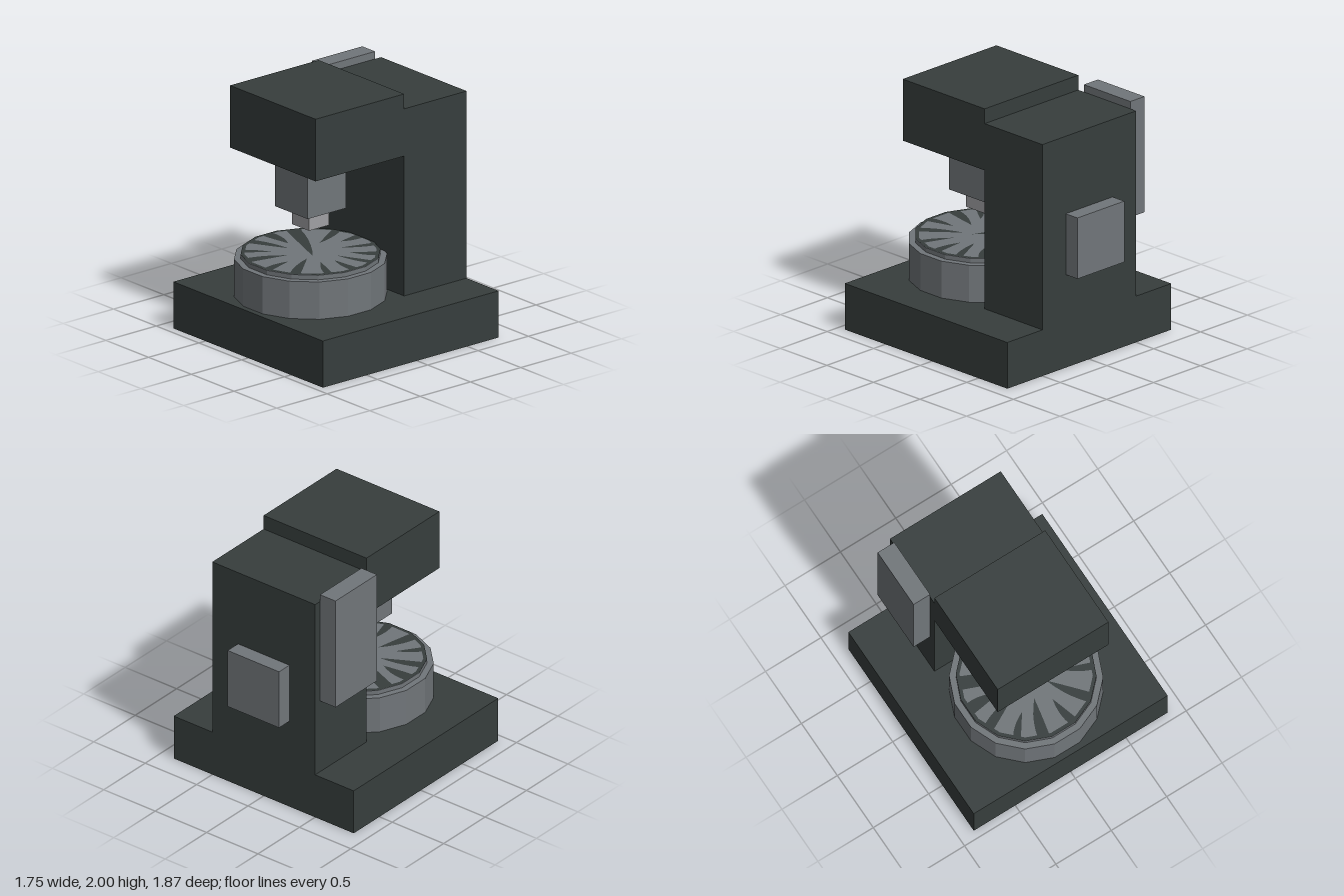
import * as THREE from 'three';

const dark = new THREE.MeshStandardMaterial({ name: 'dark casing', color: 0x373e3d, flatShading: true });
const grey = new THREE.MeshStandardMaterial({ name: 'grey metal', color: 0x71767a, flatShading: true });
const light = new THREE.MeshStandardMaterial({ name: 'light metal', color: 0xa0a0a3, flatShading: true });

const SIDES = 16;
const TABLE_Z = 0.315;

export function createModel() {
  const model = new THREE.Group();
  model.name = 'pressMachine';

  function add(name, geometry, material) {
    const mesh = new THREE.Mesh(geometry, material);
    mesh.name = name;
    model.add(mesh);
    return mesh;
  }

  // Box given by its lower and upper limits on each axis
  function box(name, material, [x0, x1], [y0, y1], [z0, z1]) {
    const g = new THREE.BoxGeometry(x1 - x0, y1 - y0, z1 - z0);
    add(name, g.translate((x0 + x1) / 2, (y0 + y1) / 2, (z0 + z1) / 2), material);
  }

  // Faceted disc with a flat side facing the front
  function disc(name, material, radius, y0, y1) {
    const g = new THREE.CylinderGeometry(radius, radius, y1 - y0, SIDES);
    g.rotateY(Math.PI / SIDES).translate(0, (y0 + y1) / 2, TABLE_Z);
    add(name, g, material);
  }

  // Casing
  box('base', dark, [-0.875, 0.875], [0, 0.375], [-0.81, 0.935]);
  box('column', dark, [-0.5, 0.5], [0.375, 1.88], [-0.81, -0.19]);
  box('head', dark, [-0.5, 0.5], [1.5, 2], [-0.19, 0.69]);

  // Panels on the side and back of the column
  box('sidePanel', grey, [-0.65, -0.5], [1, 1.94], [-0.75, -0.25]);
  box('backPanel', grey, [-0.25, 0.25], [0.755, 1.25], [-0.935, -0.81]);

  // Spindle under the head
  box('spindle', grey, [-0.19, 0.19], [1.07, 1.5], [0.125, 0.505]);
  box('spindleTip', light, [-0.1, 0.1], [0.93, 1.07], [0.215, 0.415]);

  // Round work table
  disc('table', grey, 0.584, 0.375, 0.675);
  disc('tablePlate', grey, 0.533, 0.675, 0.711);

  // Dark band around the plate's top
  const band = new THREE.RingGeometry(0.505, 0.533, SIDES, 1);
  band.rotateX(-Math.PI / 2).rotateY(Math.PI / SIDES).translate(0, 0.714, TABLE_Z);
  add('plateBand', band, dark);

  // Dark streaks running inward from the band: angle, inner radius, half width
  const streaks = [
    [0.0, 0.27, 0.035], [0.4, 0.22, 0.03], [0.78, 0.3, 0.04], [1.2, 0.24, 0.03],
    [1.62, 0.32, 0.04], [2.05, 0.2, 0.035], [2.7, -0.1, 0.055], [3.14, 0.25, 0.05],
    [3.55, 0.18, 0.04], [4.0, 0.3, 0.03], [4.4, 0.2, 0.045], [4.9, 0.28, 0.035],
    [5.35, 0.16, 0.04], [5.85, 0.25, 0.03],
  ];
  for (const [angle, inner, w] of streaks) {
    const mid = (inner + 0.51) / 2;
    const shape = new THREE.Shape();
    shape.moveTo(inner, 0.01);
    shape.quadraticCurveTo(mid, -w * 1.3, 0.51, -w);
    shape.lineTo(0.51, w);
    shape.quadraticCurveTo(mid, w * 0.7, inner, 0.01);
    const g = new THREE.ShapeGeometry(shape, 5);
    g.rotateX(-Math.PI / 2).rotateY(angle).translate(0, 0.714, TABLE_Z);
    add('plateStreak', g, dark);
  }

  return model;
}
